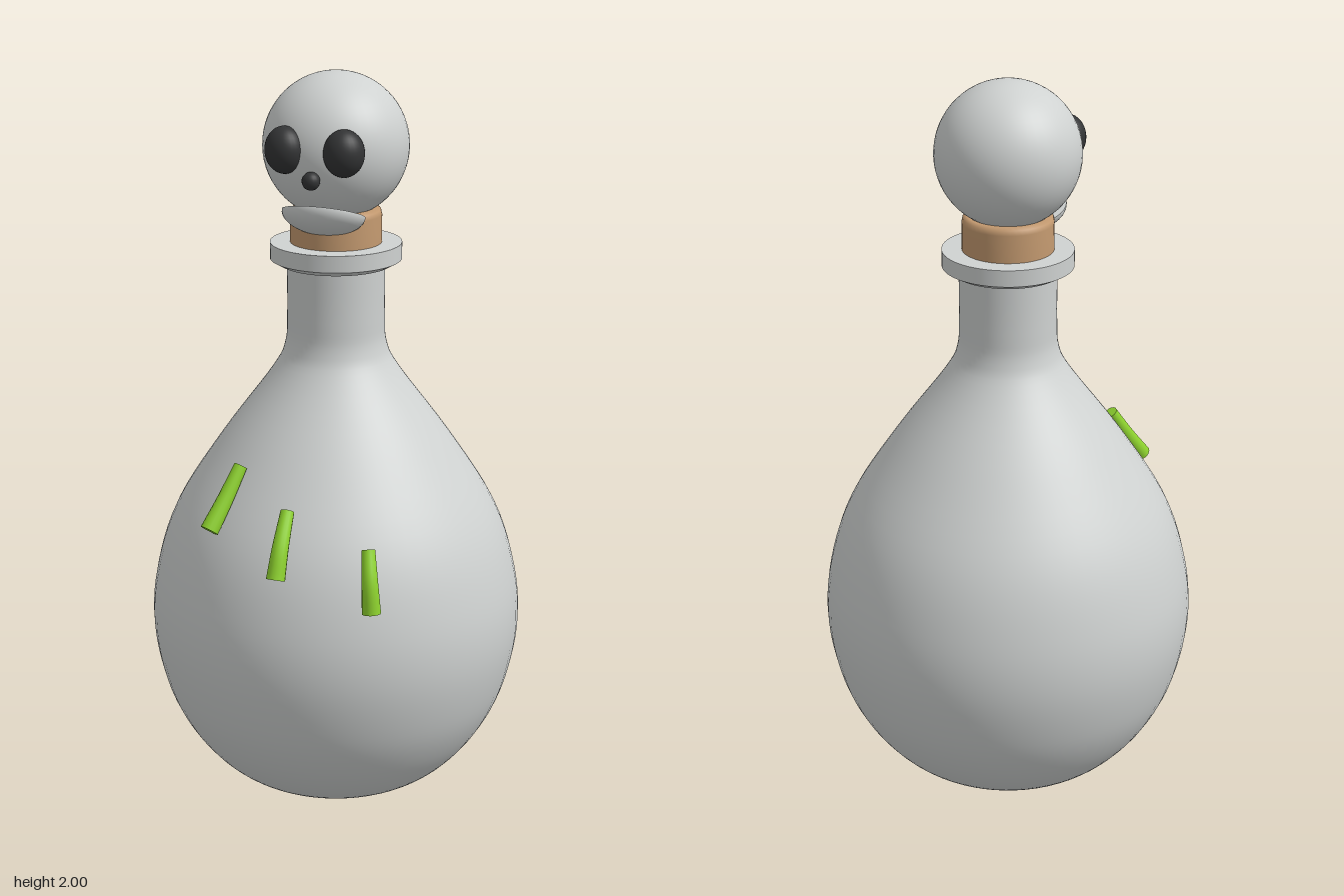
import * as THREE from 'three';

const mat = (name, color) => {
  const m = new THREE.MeshStandardMaterial({ color });
  m.name = name;
  return m;
};

export function createModel() {
  const root = new THREE.Group();
  root.name = 'stopperedBottle';
  const grey = mat('pale grey', 0xcfd2d1);
  const tan = mat('cork tan', 0xc49a70);
  const black = mat('charcoal', 0x333435);
  const green = mat('stem green', 0x8fd42f);

  const add = (parent, name, geo, material, x = 0, y = 0, z = 0) => {
    const m = new THREE.Mesh(geo, material);
    m.name = name;
    m.position.set(x, y, z);
    parent.add(m);
    return m;
  };
  const v2 = (a) => new THREE.Vector2(a[0], a[1]);
  const v3 = (a) => new THREE.Vector3(...a);

  // Bulbous body running up into the straight neck
  const profile = new THREE.SplineCurve([
    [0.2, 0.005], [0.27, 0.025], [0.35, 0.085], [0.425, 0.18], [0.48, 0.3], [0.511, 0.46],
    [0.499, 0.62], [0.441, 0.8], [0.315, 1.0], [0.175, 1.19], [0.138, 1.265], [0.132, 1.35], [0.132, 1.5],
  ].map(v2)).getPoints(60);
  add(root, 'bottleBody', new THREE.LatheGeometry(profile, 64), grey);
  const base = add(root, 'bottleBase', new THREE.CircleGeometry(0.2, 64), grey, 0, 0.005, 0);
  base.rotation.x = Math.PI / 2;

  // Lip: chamfered underside, straight rim, flat top
  const lip = [[0.13, 1.485], [0.15, 1.485], [0.177, 1.5], [0.177, 1.545], [0.1, 1.545]];
  for (let i = 0; i < lip.length - 1; i++) {
    add(root, 'lip', new THREE.LatheGeometry([v2(lip[i]), v2(lip[i + 1])], 64), grey);
  }

  // Cork and round head
  add(root, 'cork', new THREE.LatheGeometry(
    [[0.123, 1.53], [0.123, 1.62], [0.12, 1.633], [0.11, 1.64], [0, 1.64]].map(v2), 48), tan);
  add(root, 'head', new THREE.SphereGeometry(0.195, 48, 32), grey, 0, 1.805, 0);

  // Face, turned toward the model's left
  const face = new THREE.Group();
  face.name = 'face';
  face.rotation.y = 0.49;
  root.add(face);
  for (const s of [-1, 1]) {
    const eye = add(face, 'eye', new THREE.SphereGeometry(1, 28, 20), black, s * 0.081, 1.817, 0.173);
    eye.scale.set(0.054, 0.062, 0.05);
    eye.rotation.y = s * 0.44;
  }
  add(face, 'nose', new THREE.SphereGeometry(0.024, 20, 14), black, 0, 1.745, 0.198);

  // Half-ellipsoid jaw with its flat top tipped up at the front
  const jaw = new THREE.Group();
  jaw.name = 'jaw';
  jaw.position.set(0, 1.641, 0.1);
  jaw.rotation.x = -0.4;
  jaw.scale.set(0.113, 0.058, 0.09);
  face.add(jaw);
  add(jaw, 'jawBowl', new THREE.SphereGeometry(1, 32, 12, 0, Math.PI * 2, Math.PI / 2, Math.PI / 2), grey);
  add(jaw, 'jawTop', new THREE.CircleGeometry(1, 32), grey).rotation.x = -Math.PI / 2;

  // Green stems: tubes that widen toward the lower end, capped with discs
  const stems = [
    [[0, 0.99, 0.345], [0, 0.91, 0.4], [0, 0.835, 0.457]],
    [[0.193, 0.915, 0.352], [0.223, 0.83, 0.405], [0.235, 0.757, 0.432]],
    [[0.388, 0.835, 0.247], [0.416, 0.76, 0.268], [0.427, 0.677, 0.272]],
  ];
  const rTop = 0.018, rEnd = 0.025, rings = 10, sides = 16;
  for (const pts of stems) {
    const stem = new THREE.Group();
    stem.name = 'stem';
    root.add(stem);
    const curve = new THREE.CatmullRomCurve3(pts.map(v3));
    const geo = new THREE.TubeGeometry(curve, rings, 1, sides);
    const pos = geo.attributes.position, p = new THREE.Vector3();
    for (let i = 0; i < pos.count; i++) {
      const t = Math.floor(i / (sides + 1)) / rings;
      const c = curve.getPointAt(t);
      p.fromBufferAttribute(pos, i).sub(c).multiplyScalar(rTop + (rEnd - rTop) * t).add(c);
      pos.setXYZ(i, p.x, p.y, p.z);
    }
    add(stem, 'stemTube', geo, green);
    for (const t of [0, 1]) {
      const c = curve.getPointAt(t);
      const out = curve.getTangentAt(t).multiplyScalar(t ? 1 : -1);
      const cap = add(stem, 'stemCap', new THREE.CircleGeometry(t ? rEnd : rTop, sides), green, c.x, c.y, c.z);
      cap.quaternion.setFromUnitVectors(new THREE.Vector3(0, 0, 1), out);
    }
  }
  return root;
}
